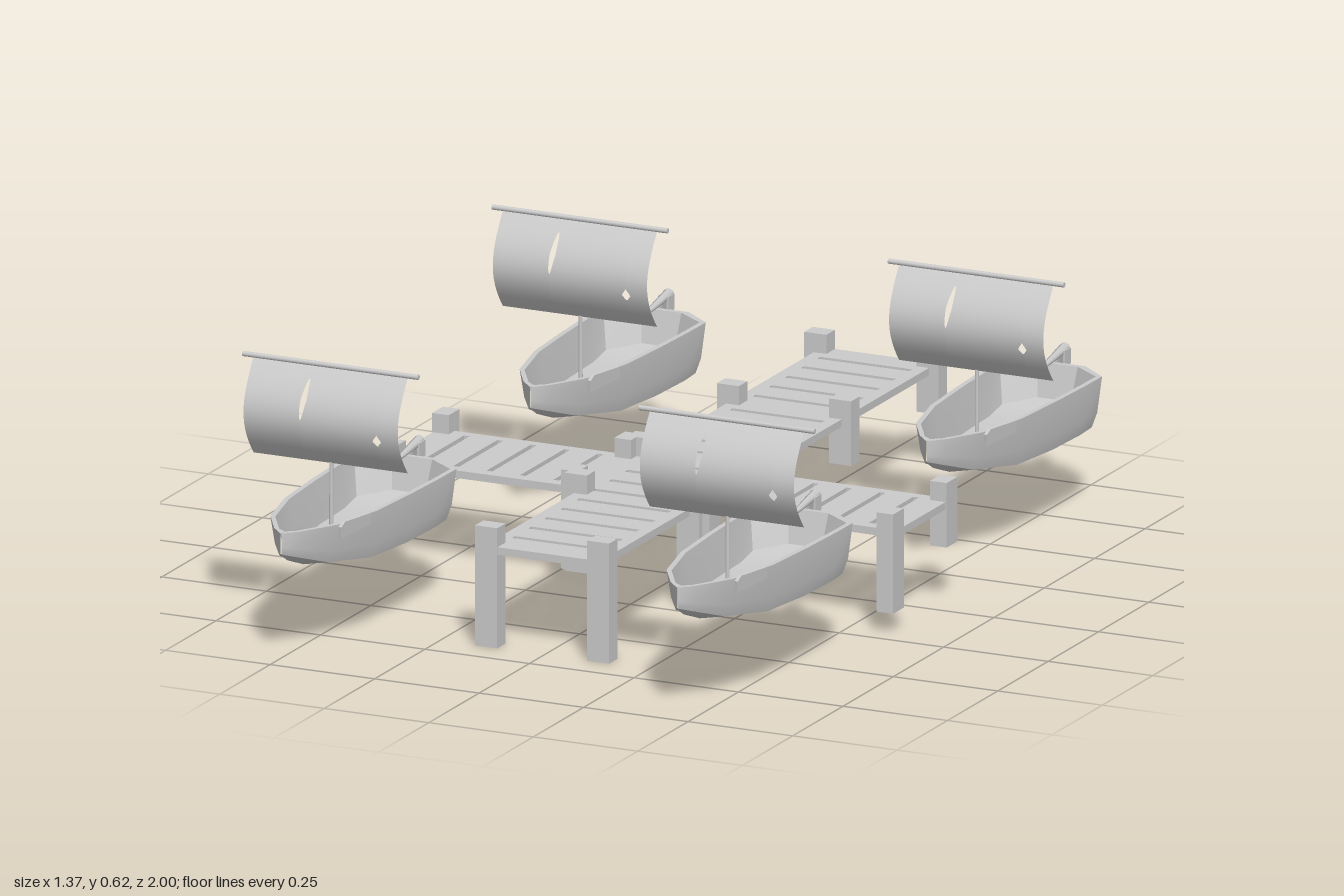
import * as THREE from 'three';
import { toCreasedNormals } from 'three/addons/utils/BufferGeometryUtils.js';

const grey = new THREE.MeshStandardMaterial({ color: 0xcccccc });
const cloth = new THREE.MeshStandardMaterial({ color: 0xcccccc, side: THREE.DoubleSide });

function add(parent, name, geometry, x = 0, y = 0, z = 0, material = grey) {
  const mesh = new THREE.Mesh(geometry, material);
  mesh.name = name;
  mesh.position.set(x, y, z);
  parent.add(mesh);
  return mesh;
}

// Geometry from a list of points and polygon fans, with sharp creases kept
function fromFaces(points, faces, crease) {
  const index = [];
  for (const f of faces) for (let i = 1; i < f.length - 1; i++) index.push(f[0], f[i], f[i + 1]);
  const g = new THREE.BufferGeometry();
  g.setAttribute('position', new THREE.Float32BufferAttribute(points.flat(), 3));
  g.setIndex(index);
  if (crease) return toCreasedNormals(g, crease);
  g.computeVertexNormals();
  return g;
}

// Side profile given as [z, y] points, extruded across x
function sideProfile(points, thickness) {
  const shape = new THREE.Shape(points.map(p => new THREE.Vector2(...p)));
  return new THREE.ExtrudeGeometry(shape, { depth: thickness, bevelEnabled: false })
    .translate(0, 0, -thickness / 2).rotateY(-Math.PI / 2);
}

function rectPath(path, x0, x1, z0, z1) {
  path.moveTo(x0, -z1); path.lineTo(x1, -z1); path.lineTo(x1, -z0); path.lineTo(x0, -z0);
  path.closePath();
  return path;
}

// Deck slab pierced by the gaps between its planks
function deck(parent, name, [x0, x1, z0, z1], gaps) {
  const shape = rectPath(new THREE.Shape(), x0, x1, z0, z1);
  for (const g of gaps) shape.holes.push(rectPath(new THREE.Path(), ...g));
  const geo = new THREE.ExtrudeGeometry(shape, { depth: 0.017, bevelEnabled: false });
  add(parent, name, geo.rotateX(-Math.PI / 2), 0, 0.21, 0);
}

function makePier() {
  const pier = new THREE.Group();
  pier.name = 'pier';
  const series = (start, step, n) => Array.from({ length: n }, (_, i) => start + i * step);

  const longGaps = [...series(-0.925, 0.08, 5), ...series(-0.49, 0.081, 5),
    ...series(-0.05, 0.08, 4), ...series(0.27, 0.08, 5)];
  deck(pier, 'longDeck', [-0.143, 0.133, -1, 0.675],
    longGaps.map(z => [-0.115, 0.105, z - 0.008, z + 0.008]));
  for (const [name, x0, x1, start] of [['rightDeck', -0.618, -0.143, -0.54], ['leftDeck', 0.133, 0.608, 0.215]])
    deck(pier, name, [x0, x1, -0.083, 0.187],
      series(start, 0.08, 5).map(x => [x - 0.007, x + 0.007, -0.06, 0.16]));

  // Posts: [z, bottom] along the long deck, then [x] at each end of the cross decks
  const post = (x, z, w, d, bottom) =>
    add(pier, 'post', new THREE.BoxGeometry(w, 0.27 - bottom, d), x, (0.27 + bottom) / 2, z);
  for (const [z, bottom] of [[-0.979, 0.125], [-0.545, 0.125], [-0.1, 0.125], [0.211, 0.05], [0.656, 0]])
    for (const x of [-0.139, 0.129]) post(x, z, 0.053, 0.042, bottom);
  for (const x of [-0.6, -0.164, 0.152, 0.591])
    for (const [z, bottom] of [[-0.08, 0.125], [0.186, 0.047]]) post(x, z, 0.04, 0.053, bottom);
  return pier;
}

// Hull lofted from closed cross-sections, outside and inside in one ring
function hullGeometry() {
  const T = 0.297, wall = 0.012;
  // z, half width at rim, half width at chine, chine y, keel y, floor y, rake, inner z shift
  const stations = [
    [0.335, 0.06, 0.052, 0.195, 0.185, 0.222, 0.025, 0.012],
    [0.39, 0.127, 0.113, 0.187, 0.172, 0.212, 0.025, 0.006],
    [0.47, 0.126, 0.115, 0.186, 0.17, 0.2, 0, 0],
    [0.6, 0.121, 0.11, 0.186, 0.172, 0.2, 0, 0],
    [0.75, 0.111, 0.096, 0.19, 0.181, 0.203, 0, 0],
    [0.885, 0.08, 0.058, 0.21, 0.198, 0.222, 0, 0],
    [0.965, 0.032, 0.018, 0.238, 0.228, 0.255, 0, 0],
    [0.998, 0.001, 0.001, 0.252, 0.25, 0.275, 0, -0.018],
  ];
  const points = [], faces = [], N = 11;
  for (const [z, w, c, yc, yk, floor, rake, shift] of stations) {
    const wi = Math.max(w - wall, 0), fi = Math.max(c - wall, 0);
    const wm = w * 0.35 + c * 0.65 + 0.04 * w, ym = yc + (T - yc) * 0.3;
    const ring = [[w, T], [wm, ym], [c, yc], [0, yk], [-c, yc], [-wm, ym], [-w, T],
      [-wi, T], [-fi, floor], [fi, floor], [wi, T]];
    ring.forEach(([x, y], j) =>
      points.push([x, y, z + rake * (T - y) / (T - yk) + (j > 6 ? shift : 0)]));
  }
  for (let i = 0; i < stations.length - 1; i++)
    for (let j = 0; j < N; j++) {
      const a = i * N + j, b = i * N + (j + 1) % N;
      faces.push([a, a + N, b + N, b]);
    }
  // Transom outside, inside and its rim
  faces.push([0, 1, 2, 3, 4, 5, 6], [7, 8, 9, 10], [0, 6, 7, 10]);
  return fromFaces(points, faces, 0.45);
}

// Billowing sail; columns 1-2 and 3-4 bound a long tear and a small hole
function sailGeometry() {
  const rows = 40, points = [], faces = [];
  const tent = (y, lo, hi) => Math.max(0, 1 - Math.abs((2 * y - lo - hi) / (hi - lo)));
  for (let i = 0; i <= rows; i++) {
    const t = i / rows, y = 0.39 + 0.215 * t, z = 0.75 + 0.05 * Math.sin(Math.PI * Math.pow(t, 0.95));
    const tear = 0.007 * Math.sqrt(tent(y, 0.492, 0.58)), hole = 0.011 * tent(y, 0.453, 0.48);
    const mid = -0.046 + (y - 0.535) * 0.1;
    for (const x of [-0.185, mid - tear, mid + tear, 0.132 - hole, 0.132 + hole, 0.184])
      points.push([x, y, z]);
  }
  for (let i = 0; i < rows; i++)
    for (const j of [0, 1, 2, 3, 4]) {
      const y = 0.39 + 0.215 * (i + 0.5) / rows, a = i * 6 + j;
      if (j === 1 && y > 0.492 && y < 0.58) continue;
      if (j === 3 && y > 0.453 && y < 0.48) continue;
      faces.push([a, a + 1, a + 7, a + 6]);
    }
  return fromFaces(points, faces);
}

function makeBoat() {
  const boat = new THREE.Group();
  boat.name = 'boat';
  add(boat, 'hull', hullGeometry());
  add(boat, 'mast', new THREE.CylinderGeometry(0.004, 0.005, 0.41, 8), 0, 0.405, 0.748);
  add(boat, 'mastFoot', new THREE.ConeGeometry(0.026, 0.03, 5).toNonIndexed(), 0, 0.216, 0.745);
  add(boat, 'yard', new THREE.CylinderGeometry(0.006, 0.006, 0.42, 8).rotateZ(Math.PI / 2), 0, 0.609, 0.75);
  add(boat, 'sail', sailGeometry(), 0, 0, 0, cloth);

  // Repair board nailed over the left bow
  const patch = add(boat, 'patchBoard', sideProfile(
    [[-0.05, -0.008], [0.05, -0.018], [0.052, 0.008], [0.04, 0.019], [-0.045, 0.019]], 0.008), 0.096, 0.283, 0.83);
  patch.rotation.set(0, -0.24, -0.1);

  // Steering gear on the stern
  add(boat, 'rudder', sideProfile([[0.335, 0.322], [0.312, 0.332], [0.302, 0.3], [0.297, 0.25],
    [0.288, 0.225], [0.29, 0.187], [0.31, 0.185], [0.318, 0.235], [0.325, 0.29]], 0.014));
  const tiller = add(boat, 'tiller', new THREE.CylinderGeometry(0.005, 0.012, 0.12, 6), 0, 0.317, 0.368);
  tiller.rotation.x = Math.PI / 2 + 0.14;
  for (const s of [-1, 1])
    add(boat, 'rudderBracket', new THREE.BoxGeometry(0.005, 0.035, 0.03), s * 0.01, 0.308, 0.322);
  return boat;
}

export function createModel() {
  const model = new THREE.Group();
  model.name = 'pierWithBoats';
  model.add(makePier());
  for (const x of [-0.475, 0.473])
    for (const z of [0, -1.238]) {
      const boat = makeBoat();
      boat.position.set(x, 0, z);
      model.add(boat);
    }
  return model;
}
